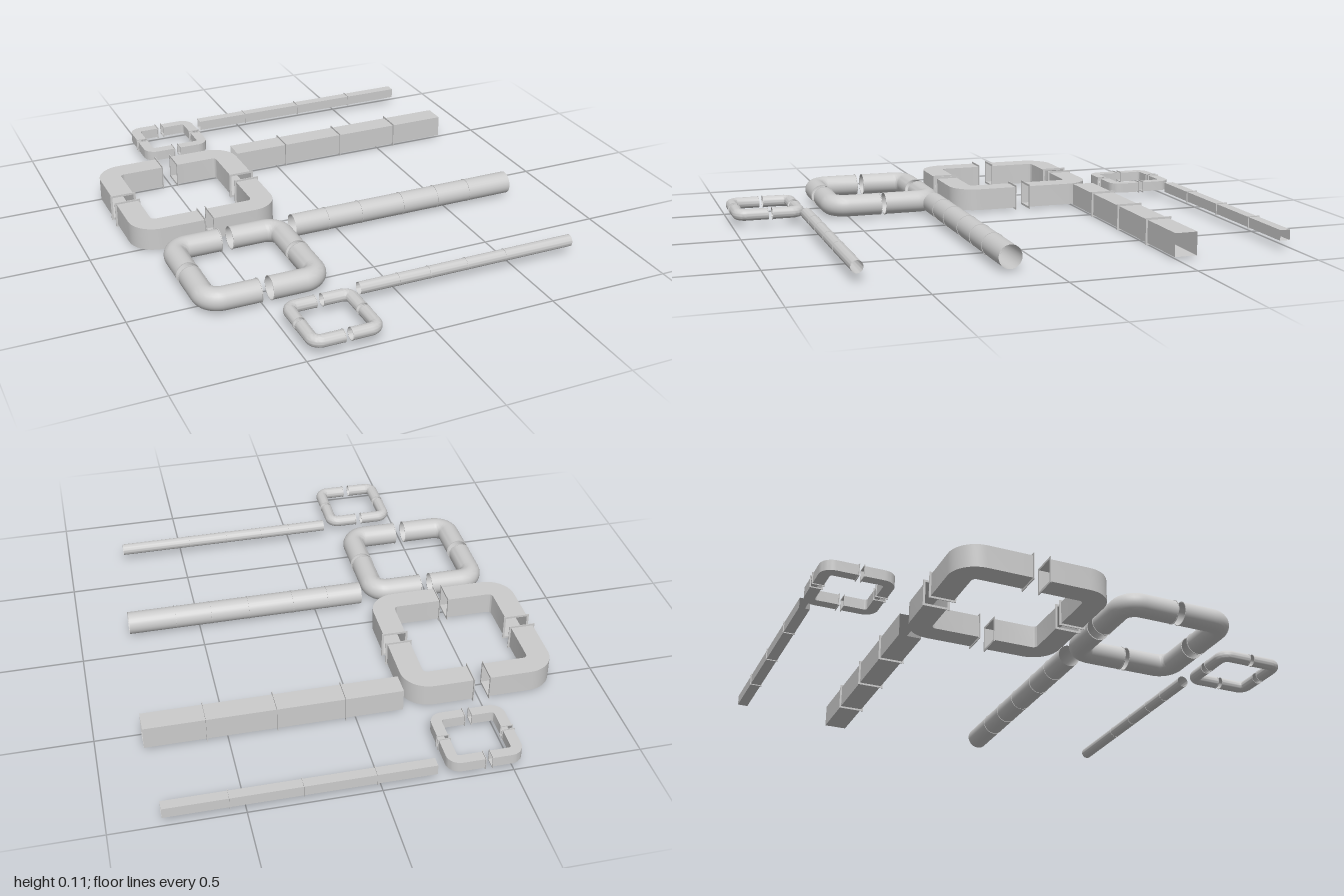
import * as THREE from 'three';
import { toCreasedNormals } from 'three/addons/utils/BufferGeometryUtils.js';

const Y = 0.054; // shared centre height of every duct
const metal = new THREE.MeshStandardMaterial({ color: 0xcccccc, side: THREE.DoubleSide });

// Cross-section of half-width h: a square or a circle
function section(round, h) {
  if (!round) return [[h, -h], [h, h], [-h, h], [-h, -h]];
  return Array.from({ length: 28 }, (_, i) => {
    const a = (i / 28) * Math.PI * 2;
    return [Math.cos(a) * h, Math.sin(a) * h];
  });
}

// Open-ended duct skin swept along a flat path of { x, z, tx, tz }
function sweep(path, profile) {
  const pos = [];
  const put = (p, [a, b]) => pos.push(p.x + a * p.tz, Y + b, p.z - a * p.tx);
  for (let i = 0; i < path.length - 1; i++) {
    const p = path[i], q = path[i + 1];
    profile.forEach((s, j) => {
      const n = profile[(j + 1) % profile.length];
      put(p, s); put(p, n); put(q, n);
      put(p, s); put(q, n); put(q, s);
    });
  }
  const geo = new THREE.BufferGeometry();
  geo.setAttribute('position', new THREE.Float32BufferAttribute(pos, 3));
  geo.computeVertexNormals();
  return toCreasedNormals(geo, 0.6);
}

function addMesh(parent, name, geo) {
  const mesh = new THREE.Mesh(geo, metal);
  mesh.name = name;
  parent.add(mesh);
  return mesh;
}

// Thin frame around a duct, facing along x or z
function addFlange(parent, set, x, z, alongX) {
  const toPoints = (list) => list.map(([a, b]) => new THREE.Vector2(a, b));
  const shape = new THREE.Shape(toPoints(section(set.round, set.flange)));
  shape.holes.push(new THREE.Path(toPoints(section(set.round, set.half * 0.98))));
  const depth = 0.003;
  const geo = new THREE.ExtrudeGeometry(shape, { depth, bevelEnabled: false });
  geo.translate(0, 0, -depth / 2);
  if (alongX) geo.rotateY(Math.PI / 2);
  addMesh(parent, 'flange', geo).position.set(x, Y, z);
}

// Quarter of a ring: straight leg, rounded bend, straight leg
function addElbow(parent, set, sx, sz) {
  const { half: h, bend: r, ring, gaps } = set;
  const side = sx > 0 ? 1 : 0, end = sz > 0 ? 1 : 0;
  const cx = ring.x[side] - sx * h, cz = ring.z[end] - sz * h;
  const xEnd = (sz > 0 ? gaps.front : gaps.back)[side];
  const zEnd = (sx > 0 ? gaps.right : gaps.left)[end];
  const path = [{ x: xEnd, z: cz, tx: sx, tz: 0 }];
  for (let i = 0; i <= 10; i++) {
    const a = (i / 10) * Math.PI / 2;
    path.push({
      x: cx - sx * r * (1 - Math.sin(a)),
      z: cz - sz * r * (1 - Math.cos(a)),
      tx: sx * Math.cos(a),
      tz: -sz * Math.sin(a),
    });
  }
  path.push({ x: cx, z: zEnd, tx: 0, tz: -sz });
  const elbow = new THREE.Group();
  elbow.name = 'elbow';
  addMesh(elbow, 'elbowDuct', sweep(path, section(set.round, h)));
  addFlange(elbow, set, xEnd + sx * 0.0015, cz, true);
  addFlange(elbow, set, cx, zEnd + sz * 0.0015, false);
  parent.add(elbow);
}

// Long run with joint flanges along it
function addStraight(parent, set) {
  const { x, z, joints } = set.run;
  const path = x.map((v) => ({ x: v, z, tx: 1, tz: 0 }));
  const run = new THREE.Group();
  run.name = 'straightRun';
  addMesh(run, 'straightDuct', sweep(path, section(set.round, set.half)));
  joints.forEach((j) => addFlange(run, set, j, z, true));
  parent.add(run);
}

// In gaps, right and left mean the +x and -x sides of the ring
const sets = [
  {
    name: 'smallSquareDuct', round: false, half: 0.021, flange: 0.025, bend: 0.031,
    ring: { x: [-0.54, -0.248], z: [-1, -0.713] },
    gaps: { back: [-0.412, -0.388], front: [-0.41, -0.386], left: [-0.862, -0.845], right: [-0.862, -0.845] },
    run: { x: [-0.207, 0.803], z: -0.973, joints: [0.02, 0.29, 0.56] },
  },
  {
    name: 'largeSquareDuct', round: false, half: 0.046, flange: 0.054, bend: 0.064,
    ring: { x: [-0.818, -0.204], z: [-0.586, 0.042] },
    gaps: { back: [-0.538, -0.475], front: [-0.53, -0.497], left: [-0.296, -0.233], right: [-0.292, -0.233] },
    run: { x: [-0.19, 0.82], z: -0.542, joints: [0.04, 0.308, 0.58] },
  },
  {
    name: 'largeRoundDuct', round: true, half: 0.046, flange: 0.048, bend: 0.062,
    ring: { x: [-0.754, -0.216], z: [0.096, 0.614] },
    gaps: { back: [-0.51, -0.465], front: [-0.507, -0.465], left: [0.343, 0.371], right: [0.35, 0.368] },
    run: { x: [-0.197, 0.795], z: 0.146, joints: [-0.05, 0.1, 0.29, 0.45, 0.6] },
  },
  {
    name: 'smallRoundDuct', round: true, half: 0.024, flange: 0.0255, bend: 0.033,
    ring: { x: [-0.484, -0.187], z: [0.7, 1] },
    gaps: { back: [-0.348, -0.322], front: [-0.348, -0.322], left: [0.84, 0.856], right: [0.84, 0.856] },
    run: { x: [-0.163, 0.76], z: 0.704, joints: [0, 0.13, 0.29, 0.46] },
  },
];

export function createModel() {
  const model = new THREE.Group();
  model.name = 'ductSet';
  for (const set of sets) {
    const group = new THREE.Group();
    group.name = set.name;
    for (const sx of [-1, 1]) for (const sz of [-1, 1]) addElbow(group, set, sx, sz);
    addStraight(group, set);
    model.add(group);
  }
  return model;
}
